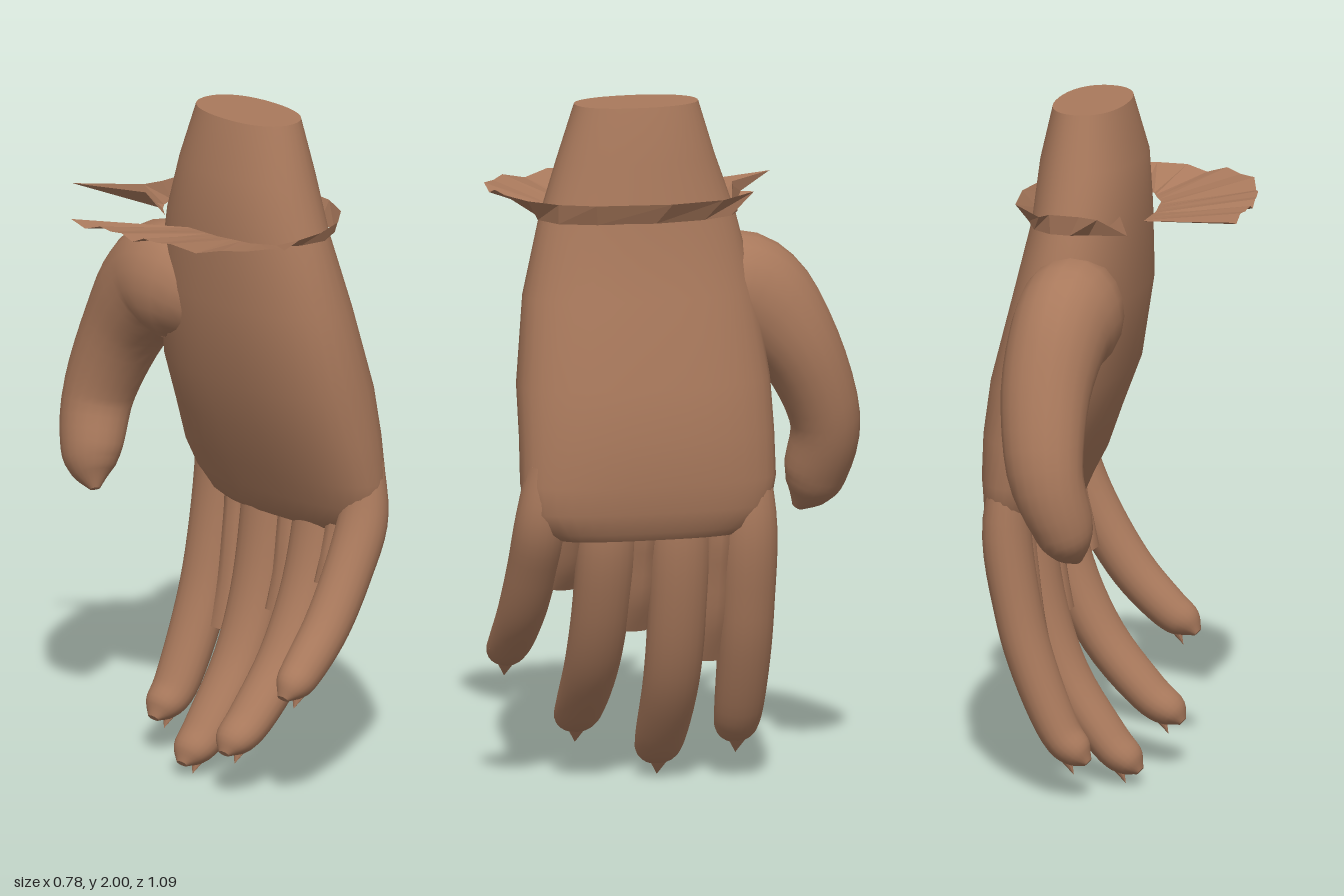
import * as THREE from 'three';
import { toCreasedNormals } from 'three/addons/utils/BufferGeometryUtils.js';

const V = (x, y, z) => new THREE.Vector3(x, y, z);

// Skin over a list of closed rings, with flat caps at both ends
function loft(rings) {
  const n = rings[0].length, pos = [], idx = [];
  const push = (p) => pos.push(p.x, p.y, p.z);
  rings.forEach((r) => r.forEach(push));
  for (let j = 0; j < rings.length - 1; j++) {
    for (let i = 0; i < n; i++) {
      const k = (i + 1) % n;
      const a = j * n + i, b = j * n + k, c = b + n, d = a + n;
      idx.push(a, b, c, a, c, d);
    }
  }
  const cap = (ring, flip) => {
    const start = pos.length / 3;
    const mid = V(0, 0, 0);
    ring.forEach((p) => { push(p); mid.addScaledVector(p, 1 / n); });
    push(mid);
    for (let i = 0; i < n; i++) {
      const a = start + i, b = start + (i + 1) % n;
      if (flip) idx.push(start + n, b, a);
      else idx.push(start + n, a, b);
    }
  };
  cap(rings[0], true);
  cap(rings[rings.length - 1], false);
  const g = new THREE.BufferGeometry();
  g.setAttribute('position', new THREE.Float32BufferAttribute(pos, 3));
  g.setIndex(idx);
  g.computeVertexNormals();
  return g;
}

// Tapered limb: rows are [x, y, z, radius across, radius along side]
function limb(rows, side, steps = 28, n = 20) {
  const path = new THREE.CatmullRomCurve3(rows.map((r) => V(r[0], r[1], r[2])), false, 'catmullrom');
  const size = new THREE.CatmullRomCurve3(rows.map((r) => V(r[3], r[4], 0)), false, 'catmullrom');
  const rings = [];
  for (let s = 0; s <= steps; s++) {
    const c = path.getPoint(s / steps), t = path.getTangent(s / steps), r = size.getPoint(s / steps);
    const b = side.clone().addScaledVector(t, -side.dot(t)).normalize();
    const a = b.clone().cross(t);
    rings.push(Array.from({ length: n }, (_, i) => {
      const w = (i / n) * Math.PI * 2;
      return c.clone().addScaledVector(a, Math.cos(w) * r.x).addScaledVector(b, Math.sin(w) * r.y);
    }));
  }
  return loft(rings);
}

export function createModel() {
  const hand = new THREE.Group();
  hand.name = 'hand';
  const skin = new THREE.MeshStandardMaterial({ color: 0xa9795c, side: THREE.DoubleSide });
  skin.name = 'brown';
  const add = (name, geometry) => {
    const m = new THREE.Mesh(geometry, skin);
    m.name = name;
    hand.add(m);
    return m;
  };

  // Wrist and palm: [y, x min, x max, z min, z max, roundness]
  const sections = [
    [2.0, 0.0, 0.208, -0.045, 0.32, 0.9],
    [1.84, -0.047, 0.245, -0.095, 0.37, 0.95],
    [1.67, -0.05, 0.26, -0.155, 0.425, 0.95],
    [1.45, -0.045, 0.31, -0.205, 0.48, 0.9],
    [1.2, 0.0, 0.37, -0.235, 0.512, 0.87],
    [1.05, 0.06, 0.388, -0.238, 0.515, 0.87],
    [0.92, 0.11, 0.388, -0.238, 0.52, 0.87],
    [0.84, 0.155, 0.378, -0.22, 0.51, 0.85],
    [0.78, 0.18, 0.362, -0.17, 0.46, 0.82],
    [0.757, 0.2, 0.345, -0.12, 0.41, 0.8],
  ];
  const bend = (v, e) => Math.sign(v) * Math.abs(v) ** e;
  add('palm', toCreasedNormals(loft(sections.map(([y, x0, x1, z0, z1, e]) =>
    Array.from({ length: 36 }, (_, i) => {
      const w = (i / 36) * Math.PI * 2;
      return V((x0 + x1) / 2 + (x1 - x0) / 2 * bend(Math.cos(w), e), y,
        (z0 + z1) / 2 + (z1 - z0) / 2 * bend(Math.sin(w), e));
    }))), 0.8));

  // Fingers: curled centre lines [x, y], with z at base and tip and half width
  const fingers = [
    { name: 'littleFinger', z: [0.455, 0.488], r: 0.075, path: [[0.27, 0.98], [0.25, 0.81], [0.18, 0.66], [0.09, 0.52], [-0.01, 0.415], [-0.065, 0.375]] },
    { name: 'ringFinger', z: [0.27, 0.27], r: 0.086, path: [[0.25, 0.98], [0.265, 0.78], [0.21, 0.56], [0.115, 0.37], [-0.015, 0.22], [-0.09, 0.165]] },
    { name: 'middleFinger', z: [0.055, 0.04], r: 0.088, path: [[0.25, 0.98], [0.27, 0.78], [0.23, 0.52], [0.155, 0.31], [0.03, 0.13], [-0.035, 0.07]] },
    { name: 'indexFinger', z: [-0.15, -0.17], r: 0.083, path: [[0.25, 1.02], [0.272, 0.78], [0.235, 0.54], [0.185, 0.37], [0.11, 0.2], [0.055, 0.14]] },
  ];
  const scale = [0.7, 1, 0.98, 0.94, 0.85, 0.68];
  fingers.forEach((f) => {
    const rows = f.path.map(([x, y], i) =>
      [x, y, f.z[0] + (f.z[1] - f.z[0]) * i / 5, 0.07 * scale[i], f.r * scale[i]]);
    const [x, y] = f.path[5];
    rows.push([x - 0.035, y - 0.03, f.z[1], 0.012, 0.02]);
    add(f.name, limb(rows, V(0, 0, 1)));
    // Pointed nail on the outer side of the tip
    const nail = add('nail', new THREE.ConeGeometry(0.055, 0.1, 10));
    nail.scale.x = 0.5;
    nail.rotation.z = Math.PI - 0.45;
    nail.position.set(x + 0.03, y - 0.025, f.z[1]);
  });

  // Webbing that fills the space between neighbouring fingers
  [[0.375, 0.6], [0.165, 0.47], [-0.06, 0.37]].forEach(([z, end], i) => {
    const a = fingers[i].path, b = fingers[i + 1].path, rows = [];
    const xAt = (p, y) => {
      const k = Math.max(1, p.findIndex((q) => q[1] <= y));
      const t = (y - p[k - 1][1]) / (p[k][1] - p[k - 1][1]);
      return p[k - 1][0] + (p[k][0] - p[k - 1][0]) * t;
    };
    const depth = [0.055, 0.055, 0.045, 0.035, 0.015];
    depth.forEach((r, j) => {
      const y = 0.9 + (end - 0.9) * j / 4;
      rows.push([(xAt(a, y) + xAt(b, y)) / 2, y, z, r, 0.045]);
    });
    add('fingerWeb', limb(rows, V(0, 0, 1), 12, 10));
  });

  // Thumb, rooted in the palm and bent away from it
  add('thumb', limb([
    [0.13, 1.36, 0.04, 0.1, 0.1],
    [0.08, 1.43, -0.12, 0.17, 0.148],
    [0.085, 1.395, -0.235, 0.165, 0.142],
    [0.09, 1.245, -0.355, 0.125, 0.13],
    [0.065, 1.04, -0.437, 0.102, 0.112],
    [0.02, 0.89, -0.425, 0.095, 0.092],
    [0.0, 0.82, -0.405, 0.072, 0.068],
    [-0.015, 0.765, -0.375, 0.015, 0.015],
  ], V(1, 0, 0)));

  // Torn cuff: rows are [inner x, inner z, outer x, outer z]
  const cuff = [
    [-0.07, 0.07, -0.39, -0.09], [-0.07, 0.09, -0.38, 0.02],
    [-0.07, 0.15, -0.38, 0.11], [-0.07, 0.19, -0.37, 0.19],
    [-0.06, 0.24, -0.35, 0.28], [-0.05, 0.3, -0.29, 0.43],
    [-0.02, 0.35, -0.18, 0.515], [0.0, 0.39, -0.06, 0.515],
    [0.04, 0.42, 0.03, 0.51], [0.12, 0.435, 0.14, 0.47],
    [0.2, 0.395, 0.22, 0.4], [0.245, 0.29, 0.27, 0.3],
    [0.265, 0.12, 0.3, 0.08], [0.245, -0.03, 0.27, -0.08],
    [0.2, -0.12, 0.16, -0.2], [0.14, -0.155, 0.14, -0.165],
    [0.08, -0.155, 0.05, -0.165], [0.03, -0.135, -0.01, -0.18],
    [0.0, -0.11, -0.15, -0.33], [-0.04, -0.06, -0.06, -0.12],
  ];
  const strip = [];
  cuff.forEach(([ix, iz, ox, oz], i) => {
    strip.push([V(ix, 1.67, iz), V(ox, 1.73, oz)]);
    // Shallow pleat folds on the wide fan only
    if (i < 7) {
      const next = cuff[i + 1];
      strip.push([V((ix + next[0]) / 2, 1.67, (iz + next[1]) / 2),
        V((ox + next[2]) / 2, i % 2 ? 1.725 : 1.712, (oz + next[3]) / 2)]);
    }
  });
  const faces = [];
  for (let i = 0; i < strip.length - 1; i++) {
    const [a, b] = strip[i], [d, c] = strip[i + 1];
    faces.push(a, d, c, a, c, b);
  }
  const cuffGeometry = new THREE.BufferGeometry().setFromPoints(faces);
  cuffGeometry.computeVertexNormals();
  add('cuff', cuffGeometry);

  return hand;
}
